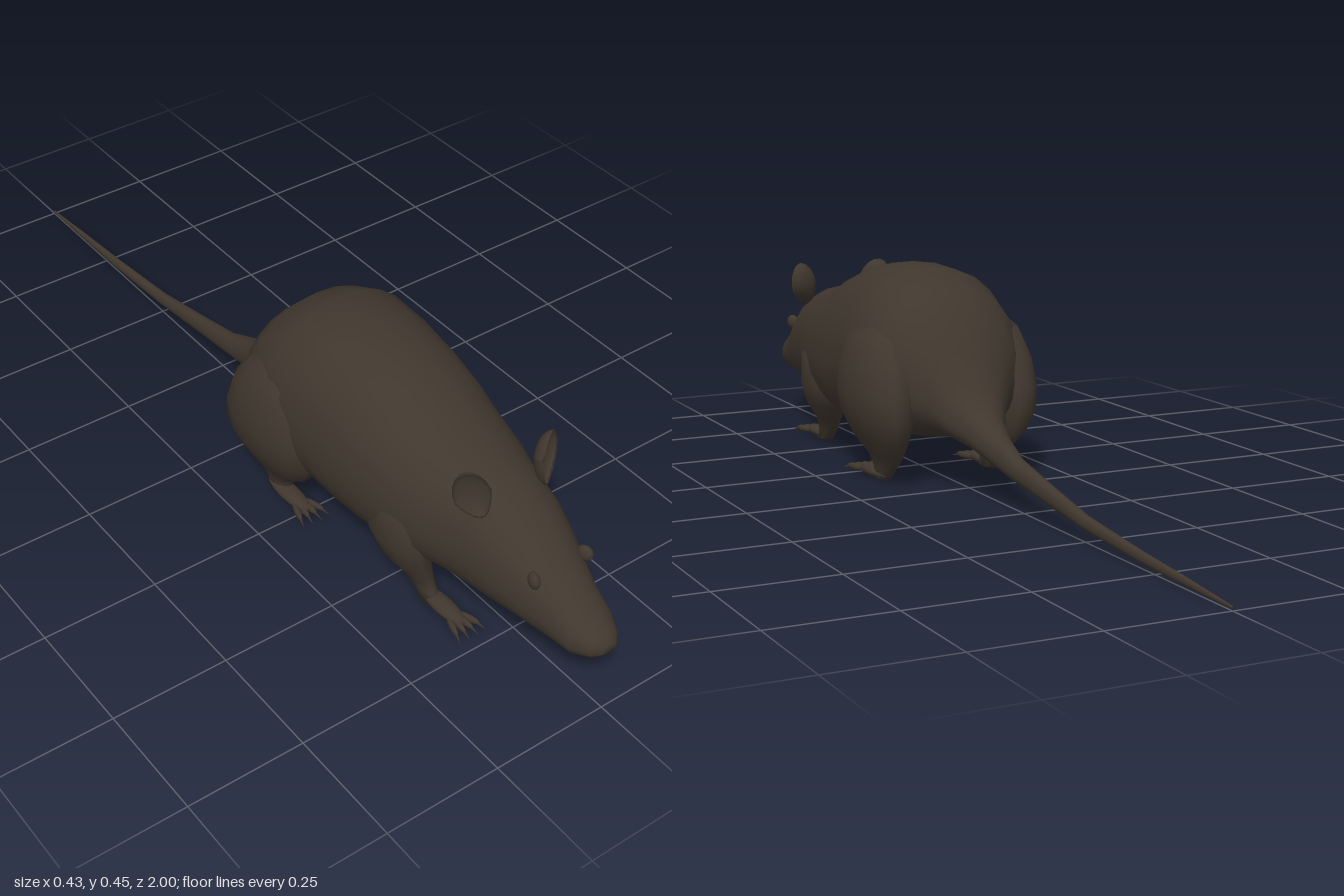
import * as THREE from 'three';

const fur = new THREE.MeshStandardMaterial({ color: 0x40372e });
fur.name = 'darkBrownFur';

// Smooth closed skin over a list of rings (arrays of points)
function loft(rings) {
  const n = rings[0].length, pos = [], idx = [];
  rings.forEach(r => r.forEach(p => pos.push(...p)));
  for (let i = 0; i < rings.length - 1; i++)
    for (let j = 0; j < n; j++) {
      const a = i * n + j, b = i * n + (j + 1) % n;
      idx.push(a, a + n, b, b, a + n, b + n);
    }
  const last = (rings.length - 1) * n;
  for (let j = 1; j < n - 1; j++) {
    idx.push(0, j, j + 1);
    idx.push(last, last + j + 1, last + j);
  }
  const g = new THREE.BufferGeometry();
  g.setAttribute('position', new THREE.Float32BufferAttribute(pos, 3));
  g.setIndex(idx);
  g.computeVertexNormals();
  return g;
}

const soft = (v, p) => Math.sign(v) * Math.pow(Math.abs(v), p);

// Ring across the body: z, bottom, top, half width
function bodyRing([z, bottom, top, w]) {
  const ring = [], mid = bottom + (top - bottom) * 0.45;
  for (let j = 0; j < 24; j++) {
    const a = j / 24 * Math.PI * 2, s = soft(Math.sin(a), 0.93);
    ring.push([w * soft(Math.cos(a), 0.9), mid + s * (s > 0 ? top - mid : mid - bottom), z]);
  }
  return ring;
}

// Level ring round a leg: x, y, z, radius x, radius z
function legRing([x, y, z, rx, rz], side) {
  const ring = [];
  for (let j = 0; j < 14; j++) {
    const a = j / 14 * Math.PI * 2;
    ring.push([side * x + rx * Math.cos(a), y, z - rz * Math.sin(a)]);
  }
  return ring;
}

function add(parent, name, geometry, x = 0, y = 0, z = 0) {
  const m = new THREE.Mesh(geometry, fur);
  m.name = name;
  m.position.set(x, y, z);
  parent.add(m);
  return m;
}

const ball = (rx, ry, rz) => new THREE.SphereGeometry(1, 14, 10).scale(rx, ry, rz);

// Paw with four splayed toes and pointed claws
function paw(parent, name, x, z, half) {
  const g = new THREE.Group();
  g.name = name;
  g.position.set(x, 0, z);
  add(g, 'sole', ball(0.021, 0.013, half), 0, 0.015, 0);
  for (let i = 0; i < 4; i++) {
    const k = i - 1.5;
    const toe = new THREE.Group();
    toe.name = 'toe';
    toe.position.set(k * 0.0105, 0.012, half * 0.6);
    toe.rotation.y = k * 0.2;
    add(toe, 'toePad', ball(0.0062, 0.008, 0.027), 0, 0.001, 0.015);
    const claw = add(toe, 'claw', new THREE.ConeGeometry(0.0035, 0.024, 6).rotateX(Math.PI / 2), 0, -0.003, 0.046);
    claw.rotation.x = 0.25;
    g.add(toe);
  }
  parent.add(g);
}

// Cupped ear: rounded back, hollow front
function earGeometry() {
  const g = new THREE.SphereGeometry(1, 18, 14).rotateX(Math.PI / 2);
  const p = g.attributes.position;
  for (let i = 0; i < p.count; i++) {
    const x = p.getX(i), y = p.getY(i), z = p.getZ(i);
    const narrow = y < 0 ? 1 + 0.35 * y : 1;
    p.setXYZ(i, x * 0.036 * narrow, y * 0.054, (z > 0 ? -0.55 * z : z) * 0.03);
  }
  g.computeVertexNormals();
  return g;
}

const bodyRows = [
  [1.0, 0.145, 0.17, 0.018], [0.985, 0.13, 0.182, 0.036], [0.95, 0.115, 0.203, 0.055],
  [0.9, 0.11, 0.233, 0.063], [0.85, 0.11, 0.265, 0.078], [0.8, 0.108, 0.3, 0.092],
  [0.75, 0.105, 0.33, 0.106], [0.7, 0.1, 0.35, 0.114], [0.65, 0.098, 0.36, 0.126],
  [0.6, 0.092, 0.37, 0.143], [0.52, 0.08, 0.39, 0.158], [0.45, 0.07, 0.42, 0.17],
  [0.38, 0.065, 0.442, 0.176], [0.28, 0.075, 0.456, 0.183], [0.18, 0.085, 0.452, 0.19],
  [0.1, 0.095, 0.415, 0.175], [0.05, 0.105, 0.365, 0.145], [0.01, 0.112, 0.3, 0.1],
  [-0.03, 0.105, 0.225, 0.07],
];
const tailRows = [
  [-0.03, 0.105, 0.225, 0.07], [-0.08, 0.095, 0.18, 0.045], [-0.14, 0.08, 0.145, 0.031],
  [-0.22, 0.062, 0.112, 0.02], [-0.35, 0.045, 0.085, 0.015], [-0.5, 0.027, 0.055, 0.012],
  [-0.7, 0.013, 0.035, 0.009], [-0.85, 0.008, 0.024, 0.006], [-1.0, 0.005, 0.011, 0.002],
];
const frontLegRows = [
  [0.09, 0.27, 0.53, 0.025, 0.04], [0.11, 0.22, 0.53, 0.048, 0.085], [0.115, 0.15, 0.53, 0.045, 0.085],
  [0.105, 0.1, 0.54, 0.038, 0.07], [0.09, 0.06, 0.56, 0.024, 0.045], [0.084, 0.03, 0.58, 0.018, 0.034],
  [0.084, 0.006, 0.6, 0.016, 0.03],
];
const hindLegRows = [
  [0.11, 0.36, 0.17, 0.03, 0.05], [0.13, 0.32, 0.17, 0.06, 0.09], [0.14, 0.26, 0.165, 0.07, 0.125],
  [0.145, 0.2, 0.16, 0.07, 0.14], [0.145, 0.15, 0.155, 0.063, 0.14], [0.14, 0.1, 0.15, 0.045, 0.115],
  [0.13, 0.06, 0.145, 0.028, 0.07], [0.128, 0.03, 0.15, 0.02, 0.04], [0.13, 0.006, 0.165, 0.017, 0.035],
];

export function createModel() {
  const model = new THREE.Group();
  model.name = 'rat';

  // Head, trunk and tail in one flowing skin
  add(model, 'bodyAndTail', loft([...bodyRows, ...tailRows.slice(1)].map(bodyRing)));
  add(model, 'nose', ball(0.018, 0.012, 0.012), 0, 0.16, 0.988);

  for (const s of [1, -1]) {
    const side = s > 0 ? 'left' : 'right';
    add(model, side + 'FrontLeg', loft(frontLegRows.map(r => legRing(r, s))));
    add(model, side + 'HindLeg', loft(hindLegRows.map(r => legRing(r, s))));
    paw(model, side + 'FrontPaw', s * 0.081, 0.635, 0.065);
    paw(model, side + 'HindPaw', s * 0.134, 0.195, 0.07);

    const eye = add(model, side + 'Eye', ball(0.011, 0.017, 0.017), s * 0.062, 0.247, 0.855);
    eye.rotation.y = s * 0.3;

    // Ears lean outward and turn a little to the side
    const ear = add(model, side + 'Ear', earGeometry(), s * 0.093, 0.36, 0.71);
    ear.rotation.set(-0.12, s * 0.5, -s * 0.35);
  }
  return model;
}
